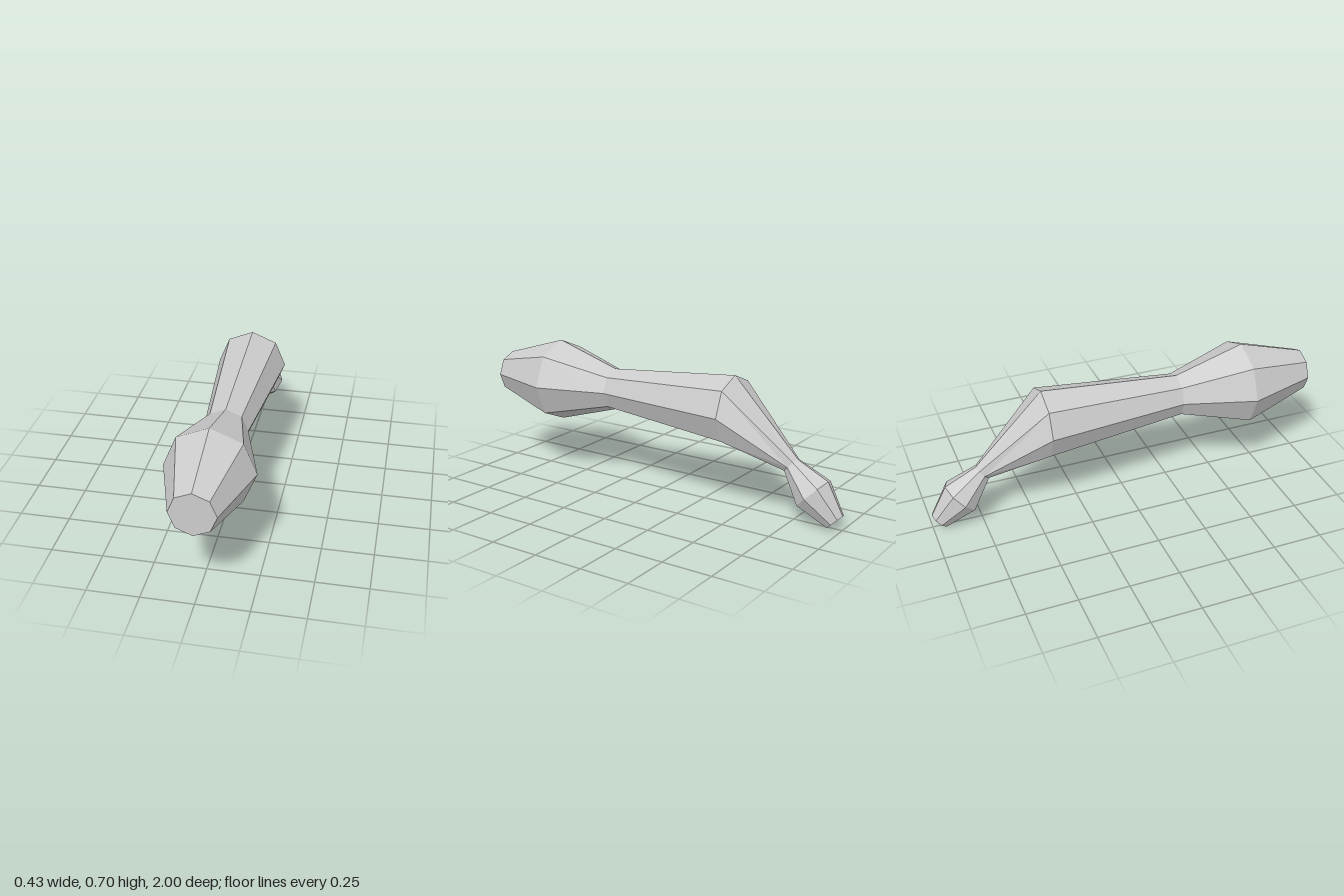
import * as THREE from 'three';

const SIDES = 8;
const TILT = Math.PI / 4; // lean of the rings along the bent tip

// Octagonal cross-sections from front to back: centre y, centre z, radius, tilt
const rings = {
  front: [0.484, 1.0, 0.108, 0],
  bulge: [0.484, 0.65, 0.215, 0],
  waist: [0.484, 0.295, 0.108, 0],
  shoulder: [0.484, -0.412, 0.175, 0],
  neck: [0.27, -0.728, 0.046, TILT],
  knob: [0.154, -0.846, 0.101, TILT],
  end: [0.037, -0.963, 0.05, TILT],
};

function ringPoint([y, z, r, tilt], k) {
  const a = (k / SIDES) * Math.PI * 2;
  const up = r * Math.sin(a);
  return [r * Math.cos(a), y + up * Math.cos(tilt), z - up * Math.sin(tilt)];
}

// Faceted skin through a list of rings, with optional end caps
function loft(name, sections, material, capFront = false, capBack = false) {
  const pos = [];
  const tri = (...pts) => pts.forEach((p) => pos.push(...p));
  const first = sections[0];
  const last = sections[sections.length - 1];
  for (let k = 0; k < SIDES; k++) {
    for (let i = 0; i < sections.length - 1; i++) {
      const a = ringPoint(sections[i], k);
      const b = ringPoint(sections[i], k + 1);
      const c = ringPoint(sections[i + 1], k + 1);
      const d = ringPoint(sections[i + 1], k);
      // mirror the diagonal so left and right match
      if (k % 4 < 2) tri(a, d, b, d, c, b);
      else tri(a, d, c, a, c, b);
    }
    if (capFront) tri([0, first[0], first[1]], ringPoint(first, k), ringPoint(first, k + 1));
    if (capBack) tri([0, last[0], last[1]], ringPoint(last, k + 1), ringPoint(last, k));
  }
  const geometry = new THREE.BufferGeometry();
  geometry.setAttribute('position', new THREE.Float32BufferAttribute(pos, 3));
  geometry.computeVertexNormals();
  const mesh = new THREE.Mesh(geometry, material);
  mesh.name = name;
  return mesh;
}

export function createModel() {
  const group = new THREE.Group();
  group.name = 'bentClub';
  const material = new THREE.MeshStandardMaterial({ color: 0xcccccc, flatShading: true });
  const { front, bulge, waist, shoulder, neck, knob, end } = rings;
  group.add(
    loft('bulb', [front, bulge, waist], material, true, false),
    loft('shaft', [waist, shoulder], material),
    loft('bend', [shoulder, neck], material),
    loft('tip', [neck, knob, end], material, false, true),
  );
  return group;
}
